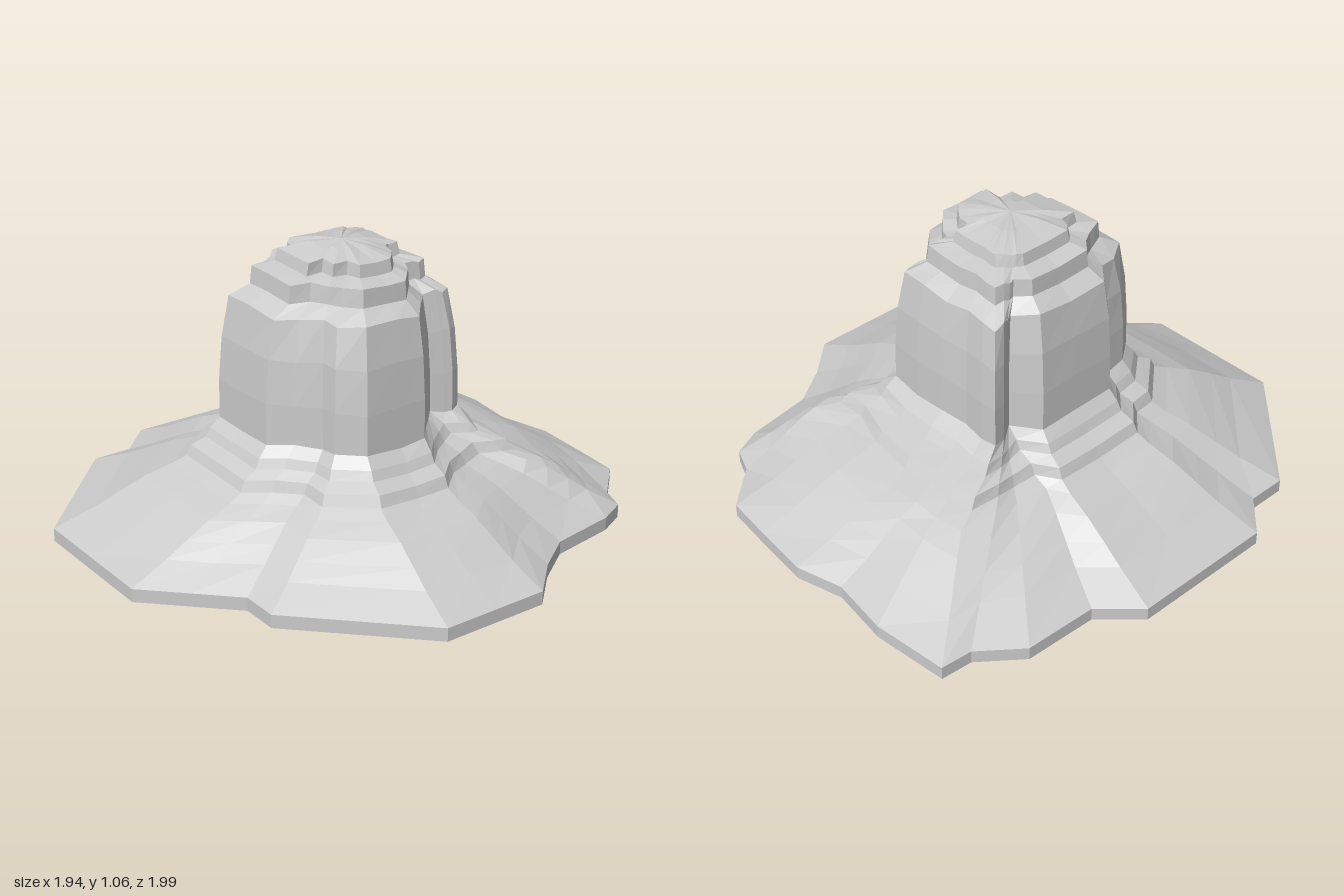
import * as THREE from 'three';

// Plan outlines (x, z pairs), all with matching columns, running front -> left -> back -> right.
const RIM = [-.14,.99, .14,.99, .28,.85, .42,.71, .56,.71, .97,.30, .97,.10, .97,-.11, .84,-.25, .74,-.40,
  .70,-.66, .65,-.77, .55,-.81, .41,-.96, .22,-.98, 0,-1, -.18,-.95, -.41,-.98, -.70,-.95, -.71,-.83,
  -.83,-.68, -.84,-.40, -.97,-.26, -.97,0, -.97,.30, -.84,.43, -.84,.58, -.41,.99];
const BENCH = [-.07,.58, .12,.58, .20,.50, .28,.41, .40,.41, .57,.24, .57,.08, .57,-.07, .50,-.16, .46,-.27,
  .43,-.38, .47,-.47, .47,-.54, .30,-.53, .14,-.60, -.06,-.63, -.20,-.62, -.30,-.62, -.41,-.60, -.43,-.46,
  -.43,-.36, -.45,-.24, -.53,-.20, -.53,0, -.53,.20, -.44,.30, -.43,.39, -.26,.58];
const FOOT = [-.06,.41, .10,.41, .17,.34, .24,.27, .31,.27, .39,.19, .39,.04, .39,-.06, .31,-.13, .25,-.19,
  .22,-.22, .24,-.27, .25,-.30, .23,-.34, .10,-.35, -.03,-.35, -.15,-.34, -.24,-.35, -.31,-.35, -.30,-.30,
  -.28,-.27, -.26,-.24, -.35,-.16, -.35,0, -.35,.17, -.27,.24, -.26,.33, -.20,.41];
const CROWN = [-.03,.21, .08,.21, .08,.15, .14,.15, .14,.09, .21,.09, .21,.02, .21,-.04, .18,-.07, .14,-.10,
  .09,-.11, .08,-.13, .08,-.15, .08,-.17, .04,-.17, -.02,-.17, -.07,-.17, -.10,-.17, -.12,-.17, -.14,-.15,
  -.16,-.13, -.17,-.12, -.18,-.10, -.18,0, -.18,.11, -.15,.14, -.11,.15, -.11,.21];
const PEAK = CROWN.map((v, i) => (i % 2 ? .02 : .01));
const COLUMNS = RIM.length / 2;

const material = new THREE.MeshStandardMaterial({
  color: 0xcccccc, flatShading: true, side: THREE.DoubleSide });

// One ring of points between two outlines, with a slight uneven height
function ring(from, to, t, y, wobble = 0) {
  return Array.from({ length: COLUMNS }, (_, i) => new THREE.Vector3(
    THREE.MathUtils.lerp(from[2 * i], to[2 * i], t),
    y + wobble * Math.sin(i * 2.3 + y * 9),
    THREE.MathUtils.lerp(from[2 * i + 1], to[2 * i + 1], t)));
}

// Skin a stack of rings, bottom to top
function loft(name, rings) {
  const points = rings.flat();
  const index = [];
  for (let r = 0; r < rings.length - 1; r++) {
    for (let i = 0; i < COLUMNS; i++) {
      const a = r * COLUMNS + i;
      const b = r * COLUMNS + (i + 1) % COLUMNS;
      index.push(a, b, b + COLUMNS, a, b + COLUMNS, a + COLUMNS);
    }
  }
  const indexed = new THREE.BufferGeometry().setFromPoints(points);
  indexed.setIndex(index);
  const geometry = indexed.toNonIndexed();
  geometry.computeVertexNormals();
  const mesh = new THREE.Mesh(geometry, material);
  mesh.name = name;
  return mesh;
}

export function createModel() {
  const group = new THREE.Group();
  group.name = 'rockButte';

  // Vertical outer edge
  group.add(loft('outerEdge', [ring(RIM, RIM, 0, 0), ring(RIM, RIM, 0, .05)]));

  // Wide scree slope, open underneath
  group.add(loft('screeSlope', [
    [0, .05, 0], [.35, .115, .005], [.55, .16, .006], [.78, .21, .006], [1, .245, .006],
  ].map(([t, y, w]) => ring(RIM, BENCH, t, y, w))));

  // Stepped ledges at the foot of the tower
  group.add(loft('footLedges', [
    [0, .245, .006], [.3, .27, .005], [.4, .31, .005], [.7, .335, .005], [.8, .37, .005], [1, .41, .006],
  ].map(([t, y, w]) => ring(BENCH, FOOT, t, y, w))));

  // Tower walls and shoulder
  group.add(loft('tower', [
    [0, .41, .006], [.01, .56, .004], [.07, .72, .004], [.2, .865, .008], [.55, .905, .005],
  ].map(([t, y, w]) => ring(FOOT, CROWN, t, y, w))));

  // Upper step
  group.add(loft('upperStep', [
    [.55, .905, .005], [.58, .97, .005], [.95, .985, .003], [1, 1.03, .003],
  ].map(([t, y, w]) => ring(FOOT, CROWN, t, y, w))));

  // Gently domed summit
  group.add(loft('summit', [
    [0, 1.03, .003], [.5, 1.052, .003], [1, 1.062, 0],
  ].map(([t, y, w]) => ring(CROWN, PEAK, t, y, w))));

  return group;
}
